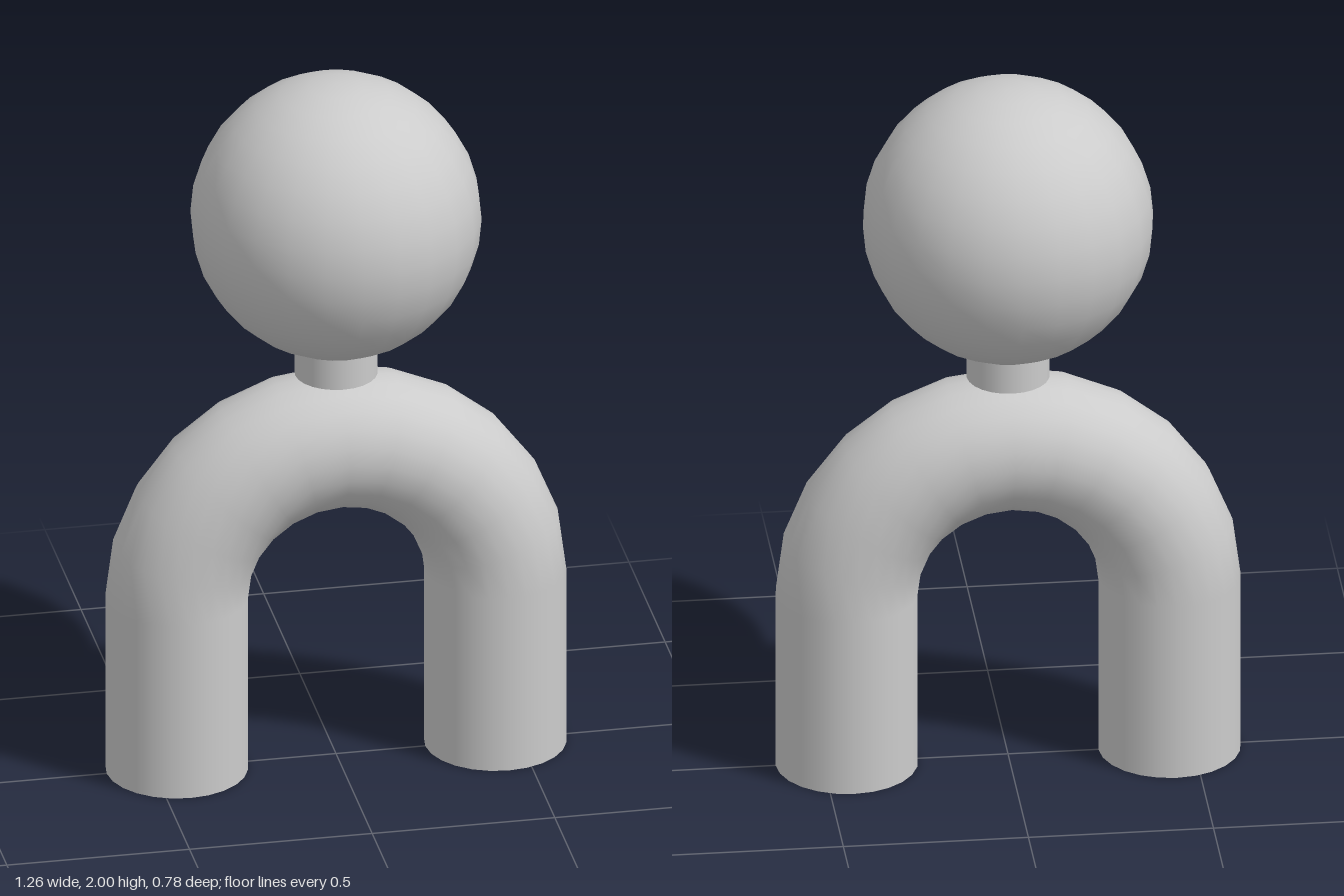
import * as THREE from 'three';

export function createModel() {
  const model = new THREE.Group();
  const material = new THREE.MeshStandardMaterial({ color: 0xcccccc });
  const add = (name, geometry, x, y) => {
    const mesh = new THREE.Mesh(geometry, material);
    mesh.name = name;
    mesh.position.set(x, y, 0);
    model.add(mesh);
  };

  const tube = 0.192;   // radius of the bent tube
  const bend = 0.436;   // radius of the arch centre line
  const spring = 0.512; // height where the arch begins
  const foot = 0.02;    // thickness of the foot discs

  // Arched body
  add('arch', new THREE.TorusGeometry(bend, tube, 24, 12, Math.PI), 0, spring);

  // Straight legs with thin foot discs
  for (const [side, x] of [['left', bend], ['right', -bend]]) {
    const length = spring - foot;
    add(side + 'Leg', new THREE.CylinderGeometry(tube, tube, length, 24, 1, true), x, foot + length / 2);
    add(side + 'Foot', new THREE.CylinderGeometry(tube, tube, foot, 24), x, foot / 2);
  }

  // Neck resting on the arch and ball head
  add('neck', new THREE.CylinderGeometry(0.112, 0.112, 0.12, 24), 0, 1.2);
  add('head', new THREE.SphereGeometry(0.392, 24, 16), 0, 1.608);

  return model;
}
